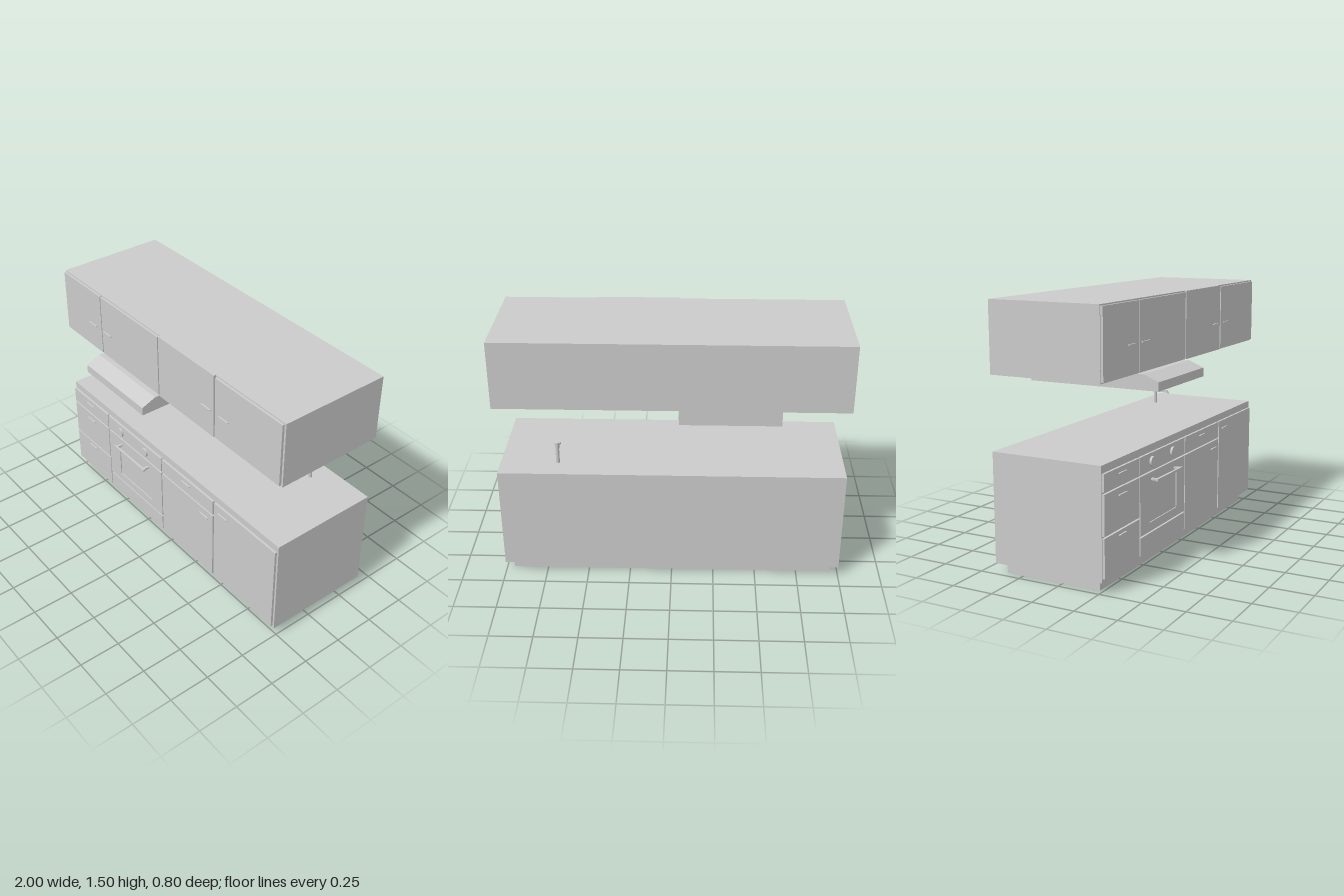
import * as THREE from 'three';

const mat = new THREE.MeshStandardMaterial({ color: 0xcccccc });

export function createModel() {
  const root = new THREE.Group();
  root.name = 'kitchenUnit';

  const add = (name, geo, x = 0, y = 0, z = 0) => {
    const mesh = new THREE.Mesh(geo, mat);
    mesh.name = name;
    mesh.position.set(x, y, z);
    root.add(mesh);
    return mesh;
  };
  // Box given by its limits on each axis
  const box = (name, x0, x1, y0, y1, z0, z1) =>
    add(name, new THREE.BoxGeometry(x1 - x0, y1 - y0, z1 - z0),
      (x0 + x1) / 2, (y0 + y1) / 2, (z0 + z1) / 2);
  const rect = (Type, x0, x1, y0, y1) => {
    const p = new Type();
    p.moveTo(x0, y0).lineTo(x1, y0).lineTo(x1, y1).lineTo(x0, y1).closePath();
    return p;
  };
  // Plate in x and y with a rectangular opening; limits are [x0, x1, y0, y1]
  const frame = (outer, inner, depth) => {
    const s = rect(THREE.Shape, ...outer);
    s.holes.push(rect(THREE.Path, ...inner));
    return new THREE.ExtrudeGeometry(s, { depth, bevelEnabled: false });
  };

  const BACK = -0.4, FRONT = 0.27, DOOR = 0.284, T = 0.012;

  // Lower carcass: thin hollow shell, open underneath
  box('worktop', -1, 1, 0.65, 0.69, BACK, FRONT);
  box('lowerBack', -1, 1, 0.063, 0.65, BACK, BACK + T);
  box('lowerFront', -1, 1, 0.063, 0.65, FRONT - T, FRONT);
  for (const s of [-1, 1]) {
    add('lowerSide', new THREE.BoxGeometry(T, 0.587, FRONT - BACK - 2 * T),
      s * (1 - T / 2), 0.3565, (BACK + FRONT) / 2);
  }
  const ring = add('bottomRim', frame([-0.999, 0.999, -0.269, 0.399], [-0.943, 0.943, -0.218, 0.343], 0.008), 0, 0.0635, 0);
  ring.rotation.x = -Math.PI / 2;
  const plinth = add('plinth', frame([-0.955, 0.955, -0.23, 0.355], [-0.943, 0.943, -0.218, 0.343], 0.064));
  plinth.rotation.x = -Math.PI / 2;

  // Upper cabinet
  box('upperCabinet', -1, 1, 1.107, 1.505, BACK, FRONT);

  // Fronts: the four columns are shared by both rows
  const cols = [[-0.995, -0.61], [-0.603, -0.042], [-0.033, 0.456], [0.468, 0.988]];
  const panel = (name, c, y0, y1) => box(name, ...cols[c], y0, y1, FRONT, DOOR);
  [[1.115, 1.497], [1.115, 1.497], [1.11, 1.505], [1.115, 1.497]]
    .forEach(([y0, y1], c) => panel('upperDoor', c, y0, y1));
  [[0.55, 0.647], [0.314, 0.538], [0.085, 0.304]].forEach(([y0, y1]) => panel('drawerFront', 0, y0, y1));
  panel('ovenControlPanel', 1, 0.55, 0.647);
  panel('ovenDrawer', 1, 0.088, 0.189);
  panel('drawerFront', 2, 0.55, 0.647);
  panel('lowerDoor', 2, 0.08, 0.538);
  panel('sinkDoor', 3, 0.08, 0.647);

  // Oven door with a shallow recessed window
  add('ovenDoor', frame([...cols[1], 0.198, 0.538], [-0.49, -0.15, 0.25, 0.475], DOOR - FRONT), 0, 0, FRONT);
  box('ovenWindow', -0.49, -0.15, 0.25, 0.475, FRONT, DOOR - 0.006);
  box('ovenHandleBar', -0.48, -0.165, 0.49, 0.503, 0.316, 0.33);
  for (const x of [-0.465, -0.18]) box('ovenHandlePost', x - 0.008, x + 0.008, 0.491, 0.502, DOOR, 0.317);

  // Oven knobs
  for (const x of [-0.465, -0.207]) {
    add('ovenKnob', new THREE.CylinderGeometry(0.029, 0.029, 0.013, 32), x, 0.598, DOOR + 0.0065)
      .rotation.x = Math.PI / 2;
  }

  // Pull handles, by centre
  const pulls = [
    [-0.697, 1.274], [-0.547, 1.274], [0.393, 1.274], [0.543, 1.274],
    [-0.805, 0.616], [-0.805, 0.499], [-0.805, 0.28],
    [0.205, 0.616], [0.378, 0.493], [0.547, 0.597],
  ];
  for (const [x, y] of pulls) box('pullHandle', x - 0.039, x + 0.039, y - 0.003, y + 0.003, DOOR, 0.293);

  // Extractor hood: side profile (z, y) extruded along x
  const hood = new THREE.Shape([[0.4, 1.02], [0.4, 1.07], [0.31, 1.107], [BACK, 1.107], [BACK, 1.02]]
    .map(([z, y]) => new THREE.Vector2(-z, y)));
  const hoodGeo = new THREE.ExtrudeGeometry(hood, { depth: 0.573, bevelEnabled: false });
  hoodGeo.rotateY(Math.PI / 2);
  add('extractorHood', hoodGeo, -0.615);

  // Tap
  const tx = 0.665, tz = -0.268;
  add('tapBody', new THREE.CylinderGeometry(0.011, 0.011, 0.12, 24), tx, 0.75, tz);
  add('tapCap', new THREE.CylinderGeometry(0.014, 0.014, 0.018, 24), tx, 0.816, tz);
  const spout = new THREE.Shape([[-0.26, 0.765], [-0.185, 0.765], [-0.177, 0.758], [-0.167, 0.758],
    [-0.18, 0.78], [-0.26, 0.78]].map(([z, y]) => new THREE.Vector2(-z, y)));
  const spoutGeo = new THREE.ExtrudeGeometry(spout, { depth: 0.014, bevelEnabled: false });
  spoutGeo.rotateY(Math.PI / 2);
  add('tapSpout', spoutGeo, tx - 0.007);
  box('tapLever', tx - 0.004, tx + 0.004, 0.809, 0.815, tz + 0.01, -0.226);

  return root;
}
